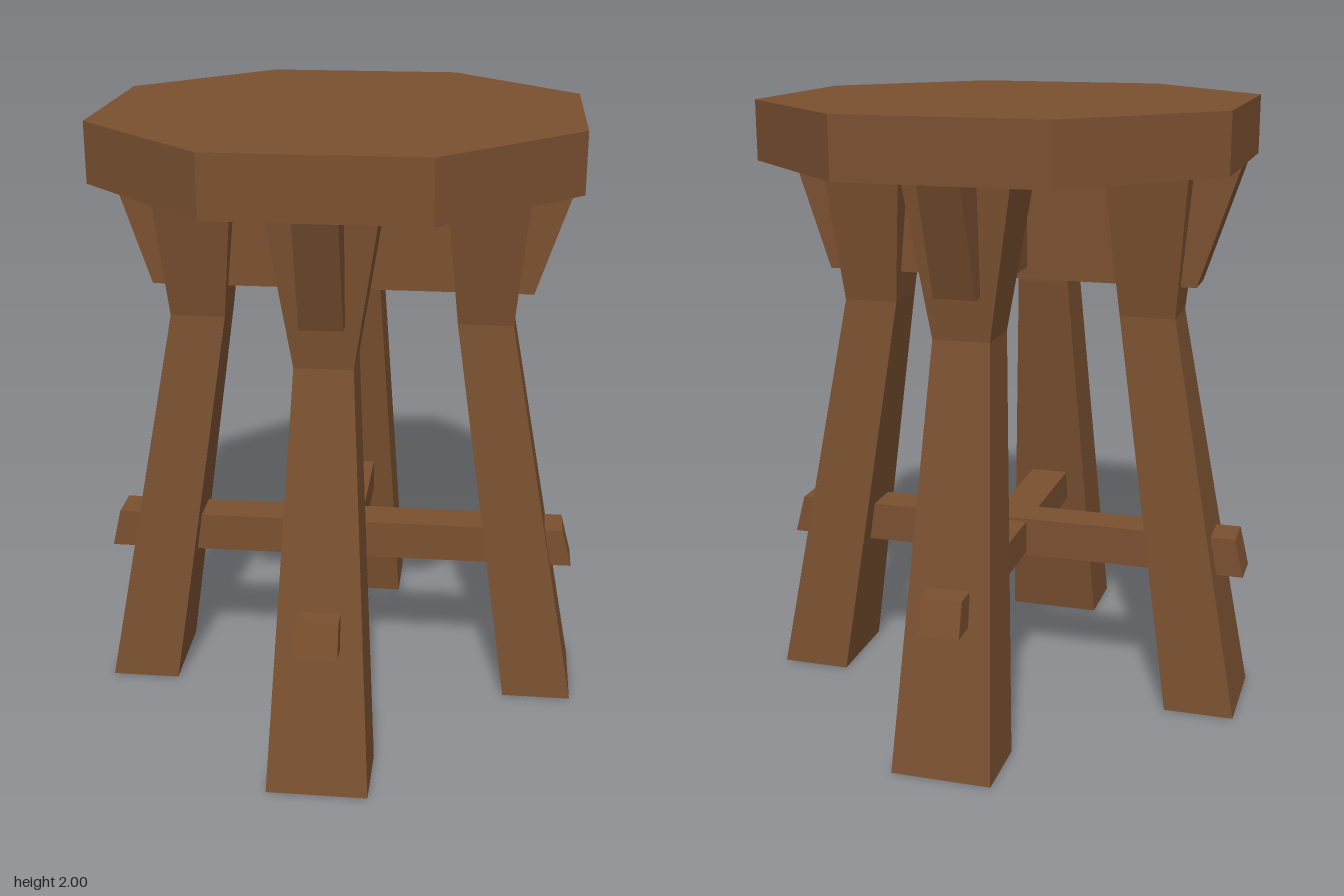
import * as THREE from 'three';

const wood = new THREE.MeshStandardMaterial({ color: 0x7a5030 });
wood.name = 'brown wood';

// Box whose horizontal sections follow a list of [y, inner x, outer x, half width]
function sectionBox(sections) {
  const n = sections.length - 1;
  const geo = new THREE.BoxGeometry(1, n, 1, 1, n, 1);
  const p = geo.attributes.position;
  for (let i = 0; i < p.count; i++) {
    const [y, inner, outer, half] = sections[Math.round(p.getY(i) + n / 2)];
    p.setXYZ(i, p.getX(i) < 0 ? inner : outer, y, Math.sign(p.getZ(i)) * half);
  }
  const flat = geo.toNonIndexed();
  flat.computeVertexNormals();
  return flat;
}

export function createModel() {
  const model = new THREE.Group();
  model.name = 'stool';

  const add = (name, geometry, turn = 0) => {
    const mesh = new THREE.Mesh(geometry, wood);
    mesh.name = name;
    mesh.rotation.y = turn;
    model.add(mesh);
  };

  // Octagonal seat slab
  const a = 0.748, b = 0.325;
  const octagon = new THREE.Shape(
    [[a, -b], [a, b], [b, a], [-b, a], [-a, b], [-a, -b], [-b, -a], [b, -a]]
      .map(([x, y]) => new THREE.Vector2(x, y)));
  const seat = new THREE.ExtrudeGeometry(octagon, { depth: 0.19, bevelEnabled: false });
  seat.rotateX(-Math.PI / 2).translate(0, 1.81, 0);
  add('seat', seat);

  // Four splayed legs, narrowest at the bend
  const leg = sectionBox([
    [0, 0.573, 0.803, 0.16],
    [1.325, 0.38, 0.56, 0.09],
    [1.81, 0.335, 0.603, 0.167],
  ]);
  ['leftLeg', 'backLeg', 'rightLeg', 'frontLeg'].forEach((name, i) => add(name, leg, i * Math.PI / 2));

  // Crossed boards under the seat, one slightly deeper
  const quarter = -Math.PI / 2;
  add('sideBrace', sectionBox([[1.425, -0.62, 0.62, 0.065], [1.81, -0.748, 0.748, 0.065]]));
  add('frontBackBrace', sectionBox([[1.463, -0.62, 0.62, 0.065], [1.81, -0.748, 0.748, 0.065]]), quarter);

  // Crossed stretchers whose slanted ends pass through the legs
  add('sideStretcher', sectionBox([[0.465, -0.805, 0.787, 0.065], [0.595, -0.775, 0.753, 0.065]]));
  add('frontBackStretcher', sectionBox([[0.475, -0.805, 0.79, 0.065], [0.585, -0.773, 0.757, 0.065]]), quarter);

  return model;
}
